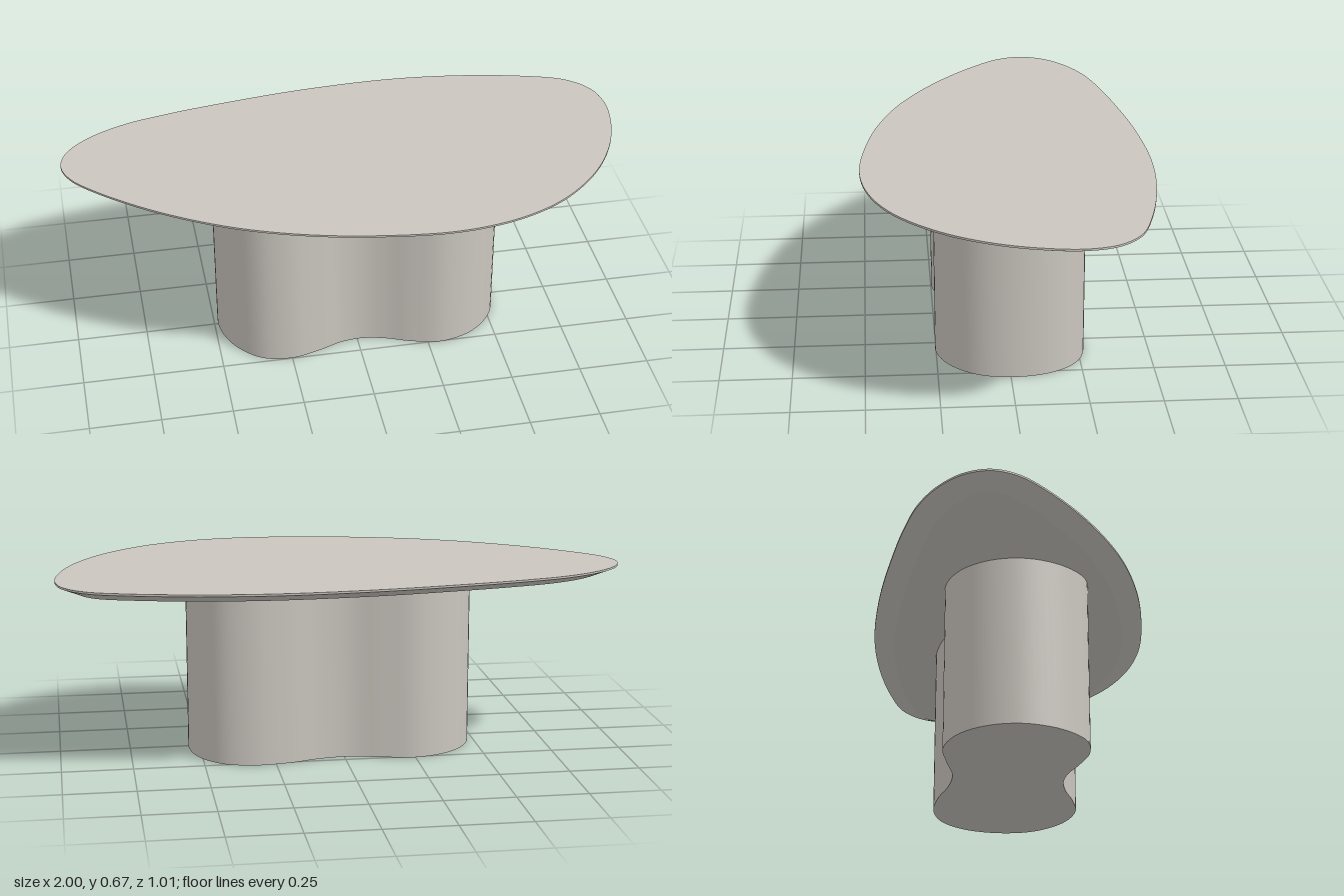
import * as THREE from 'three';

// Smooth closed plan outline through [x, z] points, running from +x towards +z
function outline(points, count) {
  const curve = new THREE.CatmullRomCurve3(
    points.map(([x, z]) => new THREE.Vector3(x, 0, z)), true, 'centripetal');
  return Array.from({ length: count }, (_, i) => {
    const p = curve.getPoint(i / count);
    const t = curve.getTangent(i / count);
    return { x: p.x, z: p.z, nx: t.z, nz: -t.x };
  });
}

// Closed solid from bottom to top; each level is [y, inset] of the outline.
// Every band has its own vertices, so edges between bands stay sharp.
function loft(loop, levels) {
  const n = loop.length;
  const position = [];
  const index = [];
  const ring = ([y, inset]) => loop.map(p => [p.x - p.nx * inset, y, p.z - p.nz * inset]);
  const point = ([y]) => loop.map(() => [0, y, 0]);
  const rings = [point(levels[0]), ...levels.map(ring), point(levels.at(-1))];
  for (let k = 0; k < rings.length - 1; k++) {
    const base = position.length / 3;
    position.push(...rings[k].flat(), ...rings[k + 1].flat());
    for (let i = 0; i < n; i++) {
      const j = (i + 1) % n;
      const a = base + i, b = base + j, c = base + n + j, d = base + n + i;
      if (k < rings.length - 2) index.push(a, d, c);
      if (k > 0) index.push(a, c, b);
    }
  }
  const geometry = new THREE.BufferGeometry();
  geometry.setAttribute('position', new THREE.Float32BufferAttribute(position, 3));
  geometry.setIndex(index);
  geometry.computeVertexNormals();
  return geometry;
}

export function createModel() {
  const group = new THREE.Group();
  group.name = 'coffeeTable';
  const stone = new THREE.MeshStandardMaterial({ color: 0xcac5be });
  stone.name = 'warm grey stone';

  const add = (name, geometry) => {
    const mesh = new THREE.Mesh(geometry, stone);
    mesh.name = name;
    group.add(mesh);
  };

  // Pebble-shaped top with a thin rim and a bevelled underside
  const topLoop = outline([
    [-1, -0.14], [-0.972, -0.225], [-0.89, -0.305], [-0.76, -0.372], [-0.6, -0.415],
    [-0.4, -0.452], [-0.1, -0.493], [0.23, -0.51], [0.5, -0.49], [0.75, -0.44],
    [0.9, -0.385], [0.975, -0.305], [1, -0.2], [0.985, -0.07], [0.94, 0.07],
    [0.86, 0.21], [0.75, 0.33], [0.63, 0.415], [0.47, 0.477], [0.28, 0.503],
    [0.05, 0.485], [-0.2, 0.435], [-0.45, 0.345], [-0.7, 0.2], [-0.9, 0.035], [-0.975, -0.055],
  ], 160);
  add('tableTop', loft(topLoop, [[0.627, 0.077], [0.66, 0], [0.667, 0]]));

  // Two-lobed pedestal with a shallow waist
  const baseLoop = outline([
    [0.54, 0], [0.51, 0.12], [0.42, 0.215], [0.3, 0.253], [0.19, 0.232], [0.1, 0.198],
    [0.02, 0.182], [-0.06, 0.19], [-0.14, 0.22], [-0.25, 0.248], [-0.36, 0.226],
    [-0.45, 0.13], [-0.487, 0], [-0.46, -0.12], [-0.38, -0.215], [-0.26, -0.26],
    [-0.14, -0.243], [-0.02, -0.217], [0.09, -0.228], [0.2, -0.26], [0.33, -0.272],
    [0.44, -0.235], [0.515, -0.14],
  ], 128);
  add('pedestal', loft(baseLoop, [[0, 0], [0.627, 0]]));

  return group;
}
